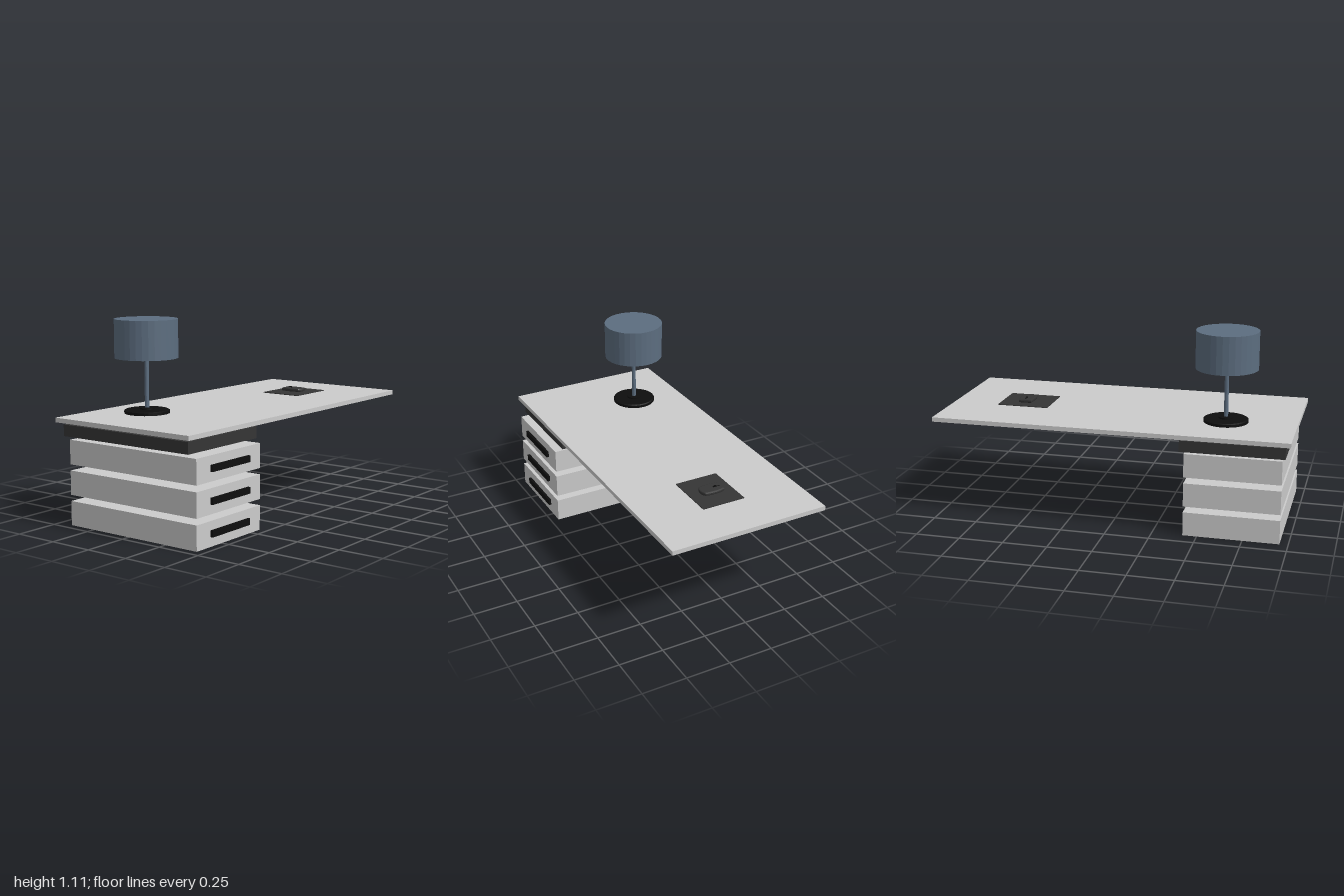
import * as THREE from 'three';

const material = (name, color, flat = false) => {
  const m = new THREE.MeshStandardMaterial({ color, flatShading: flat });
  m.name = name;
  return m;
};

export function createModel() {
  const model = new THREE.Group();
  model.name = 'desk';
  const grey = material('light grey', 0xcbcbcb);
  const charcoal = material('charcoal', 0x353535, true);
  const black = material('black', 0x0e0e0e, true);
  const blue = material('slate blue', 0x5c6d7f, true);

  const add = (name, geometry, mat, x = 0, y = 0, z = 0) => {
    const mesh = new THREE.Mesh(geometry, mat);
    mesh.name = name;
    mesh.position.set(x, y, z);
    model.add(mesh);
    return mesh;
  };
  // Box given by its limits on each axis
  const box = (name, mat, [x0, x1], [y0, y1], [z0, z1]) =>
    add(name, new THREE.BoxGeometry(x1 - x0, y1 - y0, z1 - z0), mat,
      (x0 + x1) / 2, (y0 + y1) / 2, (z0 + z1) / 2);

  // Top board and the dark slab under it
  box('tabletop', grey, [-1, 1], [0.564, 0.589], [-0.47, 0.447]);
  box('cabinetTop', charcoal, [-0.97, -0.4], [0.488, 0.551], [-0.439, 0.418]);

  // Three floating drawers with bar handles
  for (let i = 0; i < 3; i++) {
    const y = i * 0.1675;
    box('drawer', grey, [-0.953, -0.421], [y, y + 0.134], [-0.412, 0.455]);
    box('drawerHandle', black, [-0.842, -0.527], [y + 0.051, y + 0.086], [0.455, 0.47]);
  }

  // Lamp: stepped foot, pole, and a shade hollow from below
  const lx = -0.608, lz = -0.166;
  const lathe = (pts) => new THREE.LatheGeometry(pts.map(([r, y]) => new THREE.Vector2(r, y)), 32);
  add('lampBase', lathe([[0, 0.595], [0.124, 0.595], [0.124, 0.61], [0.116, 0.614],
    [0.042, 0.616], [0.042, 0.624], [0, 0.624]]), black, lx, 0, lz);
  add('lampPole', new THREE.CylinderGeometry(0.012, 0.012, 0.38, 16), blue, lx, 0.81, lz);
  add('lampShade', lathe([[0, 0.995], [0.167, 0.995], [0.167, 0.895], [0.1725, 0.895],
    [0.1725, 1.106], [0, 1.106]]), blue, lx, 0, lz);

  // Mouse pad
  box('mousePad', charcoal, [0.433, 0.73], [0.589, 0.593], [-0.137, 0.114]);

  // Mouse: bevelled outline, front end towards -z
  const outline = new THREE.Shape();
  outline.moveTo(-0.033, 0.06);
  outline.lineTo(0.031, 0.06);
  outline.quadraticCurveTo(0.045, 0.01, 0.033, -0.048);
  outline.quadraticCurveTo(0, -0.07, -0.033, -0.048);
  outline.quadraticCurveTo(-0.042, 0.01, -0.033, 0.06);
  const body = new THREE.ExtrudeGeometry(outline, {
    depth: 0.008, bevelThickness: 0.006, bevelSize: 0.006, bevelSegments: 2, curveSegments: 6,
  });
  body.rotateX(-Math.PI / 2);
  add('mouseBody', body, charcoal, 0.587, 0.6, -0.012);
  const wheel = new THREE.CylinderGeometry(0.015, 0.015, 0.008, 16).rotateZ(Math.PI / 2);
  add('mouseWheel', wheel, black, 0.587, 0.606, -0.04);
  box('mouseButtonGap', black, [0.585, 0.589], [0.612, 0.615], [-0.071, -0.03]);

  return model;
}
